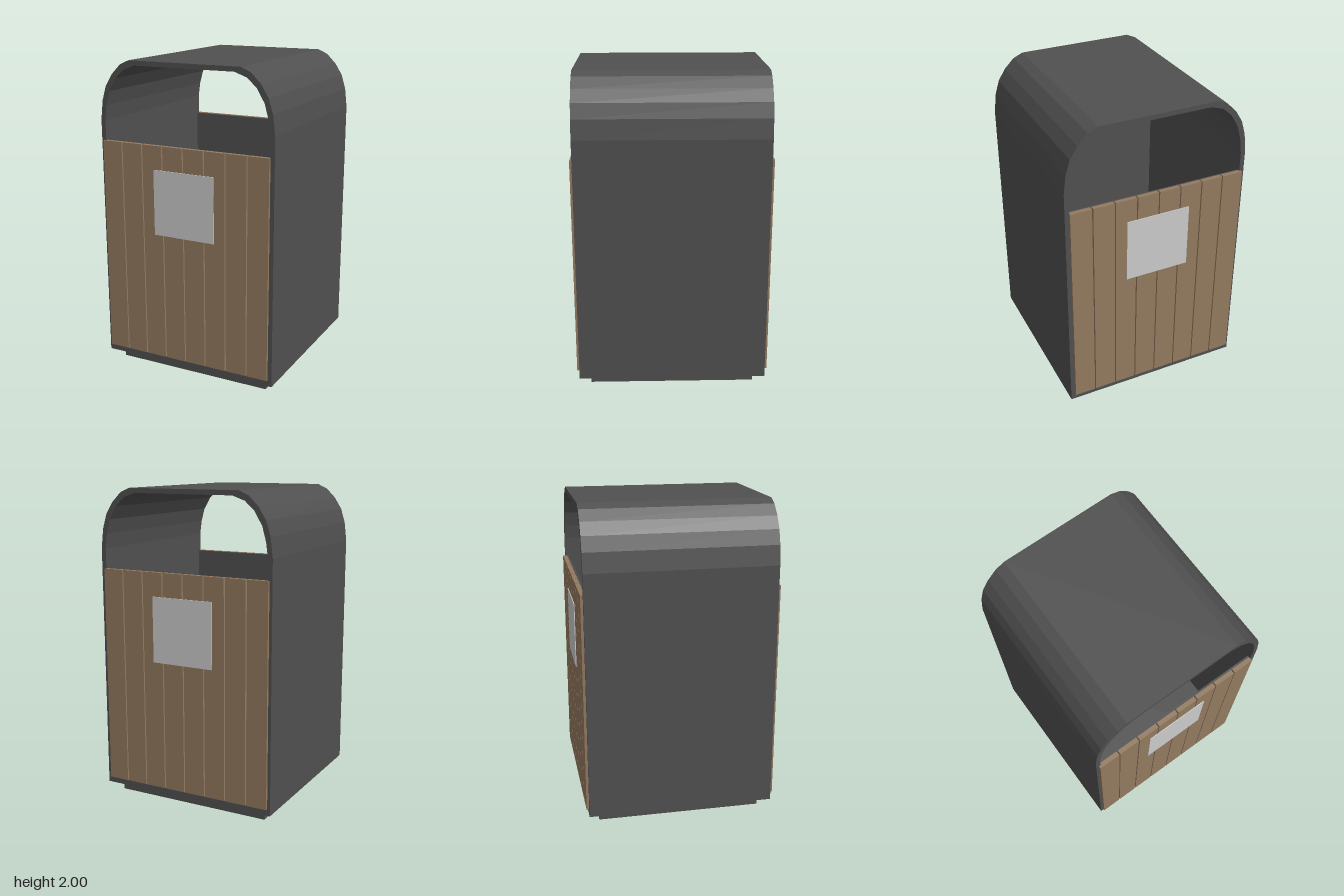
import * as THREE from 'three';

const material = (color) => new THREE.MeshStandardMaterial({ color, flatShading: true });

export function createModel() {
  const group = new THREE.Group();
  const metal = material(0x505050);
  const wood = material(0x937a5f);
  const plate = material(0xcccccc);

  const addBox = (parent, name, mat, size, pos) => {
    const mesh = new THREE.Mesh(new THREE.BoxGeometry(...size), mat);
    mesh.position.set(...pos);
    mesh.name = name;
    parent.add(mesh);
  };

  // Right half of a profile, from the bottom up, mirrored into a closed loop
  const mirrored = (half) => [
    ...half,
    ...half.map(([x, y]) => [-x, y]).reverse(),
  ].map(([x, y]) => new THREE.Vector2(x, y));

  // Folded shell: floor, side walls and rounded roof, open at front and back
  const outer = mirrored([[0.593, 0.065], [0.593, 1.624], [0.578, 1.746], [0.55, 1.836],
    [0.503, 1.91], [0.44, 1.972], [0.377, 2]]);
  const inner = mirrored([[0.563, 0.1], [0.563, 1.62], [0.55, 1.715], [0.525, 1.805],
    [0.475, 1.888], [0.415, 1.942], [0.335, 1.97]]);
  const profile = new THREE.Shape(outer);
  profile.holes.push(new THREE.Path(inner));
  const shellGeometry = new THREE.ExtrudeGeometry(profile, { depth: 1.184, bevelEnabled: false });
  shellGeometry.translate(0, 0, -0.592);
  const shell = new THREE.Mesh(shellGeometry, metal);
  shell.name = 'shell';
  group.add(shell);

  // Recessed plinth
  addBox(group, 'base', metal, [1.046, 0.066, 1.046], [0, 0.033, 0]);

  // Identical front and back: backing sheet, eight planks and a blank plate
  for (const side of [1, -1]) {
    const panel = new THREE.Group();
    panel.name = side > 0 ? 'frontPanel' : 'backPanel';
    addBox(panel, 'backing', metal, [1.13, 1.395, 0.012], [0, 0.797, 0.574]);
    for (let i = 0; i < 8; i++) {
      addBox(panel, 'plank', wood, [0.136, 1.39, 0.028], [(i - 3.5) * 0.1435 - 0.004 * side, 0.802, 0.594]);
    }
    addBox(panel, 'plate', plate, [0.415, 0.415, 0.006], [0, 1.14, 0.61]);
    if (side < 0) panel.rotation.y = Math.PI;
    group.add(panel);
  }

  return group;
}
